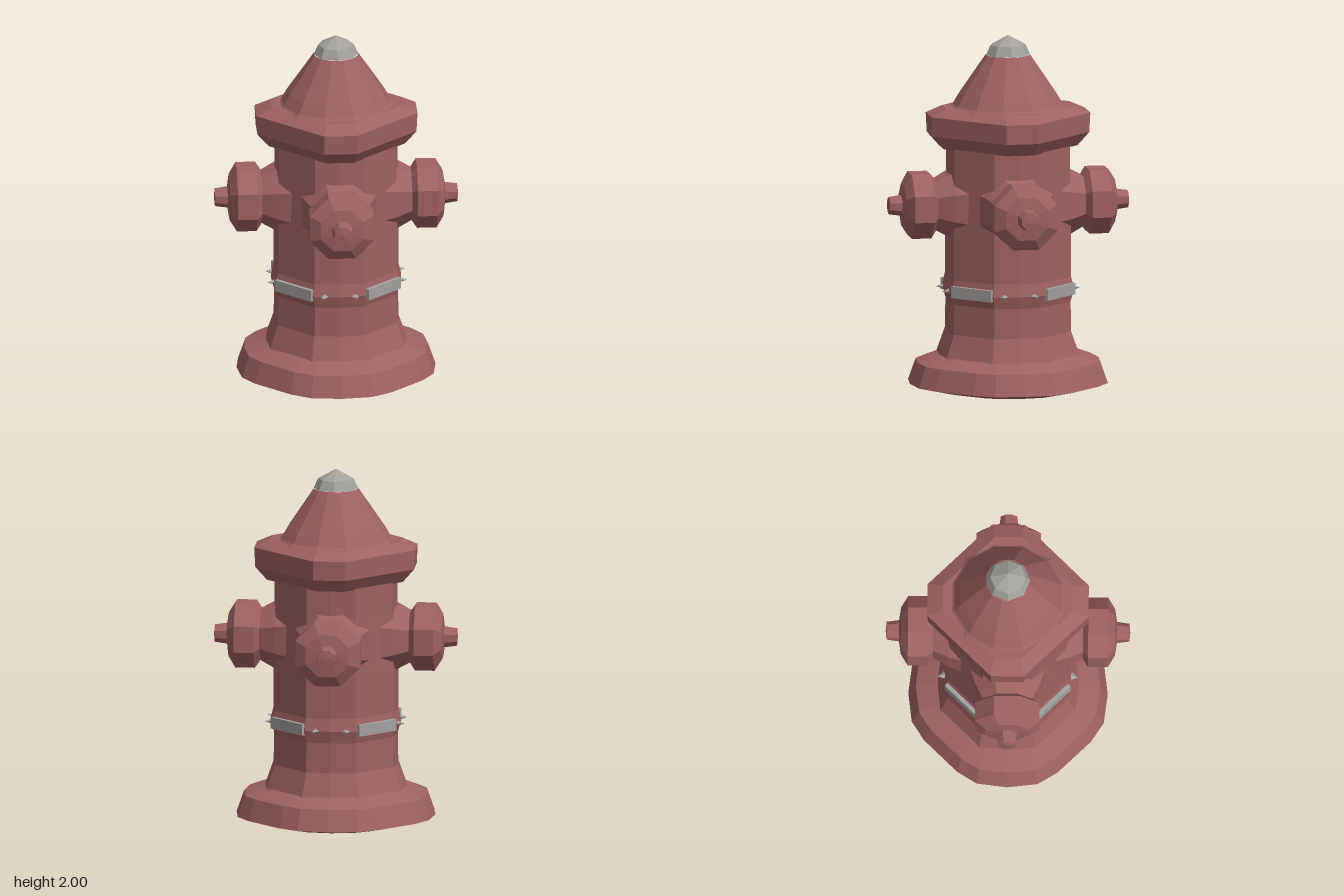
import * as THREE from 'three';

const red = new THREE.MeshStandardMaterial({ color: 0x9e6262 });
red.name = 'faded red paint';
const grey = new THREE.MeshStandardMaterial({ color: 0xa3a19e });
grey.name = 'grey metal';

// Quarter outlines (x, z) from +x to +z, unit half-width
const BASE = [[1, 0.25], [0.945, 0.49], [0.745, 0.745], [0.49, 0.945], [0.25, 1]];
const BODY = [[1, 0.41], [0.74, 0.74], [0.41, 1]];
const COLLAR = [[1, 0.66], [0.66, 1]];

// Split the faces so that each one is shaded flat
function facet(geometry) {
  const g = geometry.index ? geometry.toNonIndexed() : geometry;
  g.computeVertexNormals();
  return g;
}

// Stack a four-fold outline through levels of [half-width, y], capped at both ends
function loft(quarter, levels) {
  const outline = [];
  for (let q = 0; q < 4; q++) {
    for (const p of quarter) {
      let [x, z] = p;
      for (let r = 0; r < q; r++) [x, z] = [-z, x];
      outline.push([x, z]);
    }
  }
  const n = outline.length;
  const pos = [];
  const idx = [];
  for (const [r, y] of levels) for (const [x, z] of outline) pos.push(x * r, y, z * r);
  const top = (levels.length - 1) * n;
  const c0 = levels.length * n;
  pos.push(0, levels[0][1], 0, 0, levels[levels.length - 1][1], 0);
  for (let i = 0; i < n; i++) {
    const j = (i + 1) % n;
    for (let k = 0; k < top; k += n) {
      idx.push(k + i, k + n + i, k + j, k + j, k + n + i, k + n + j);
    }
    idx.push(c0, i, j, c0 + 1, top + j, top + i);
  }
  const g = new THREE.BufferGeometry();
  g.setAttribute('position', new THREE.Float32BufferAttribute(pos, 3));
  g.setIndex(idx);
  return facet(g);
}

function turned(points, sides, start = 0) {
  return facet(new THREE.LatheGeometry(points.map(([r, y]) => new THREE.Vector2(r, y)), sides, start));
}

function add(parent, name, geometry, material) {
  const mesh = new THREE.Mesh(geometry, material);
  mesh.name = name;
  parent.add(mesh);
  return mesh;
}

export function createModel() {
  const model = new THREE.Group();
  model.name = 'fireHydrant';

  // Foot flange, barrel and collar
  add(model, 'baseFlange', loft(BASE, [[0.39, 0], [0.53, 0.035], [0.49, 0.155], [0.38, 0.2]]), red);
  add(model, 'barrel', loft(BODY, [
    [0.385, 0.18], [0.335, 0.33], [0.332, 0.5], [0.35, 0.57], [0.335, 0.64],
    [0.335, 0.88], [0.33, 1.2], [0.33, 1.38], [0.35, 1.44],
  ]), red);
  add(model, 'collar', loft(COLLAR, [[0.325, 1.375], [0.38, 1.45], [0.385, 1.56], [0.31, 1.6]]), red);

  // Sloping bonnet with a metal tip
  add(model, 'bonnet', turned([[0.37, 1.56], [0.31, 1.61], [0.275, 1.67], [0.2, 1.78], [0.125, 1.89]], 12), red);
  add(model, 'bonnetTip', turned([[0.125, 1.89], [0.1, 1.945], [0, 2]], 8), grey);

  // Four capped outlets on the diagonals
  const outlet = turned([
    [0.24, 0.22], [0.2, 0.33], [0.15, 0.42], [0.195, 0.45], [0.195, 0.56],
    [0.13, 0.6], [0.06, 0.61], [0.05, 0.68], [0, 0.685],
  ], 8, Math.PI / 8);
  outlet.rotateX(Math.PI / 2);
  const plate = facet(new THREE.BoxGeometry(0.27, 0.065, 0.03));
  const stud = turned([[0.035, 0], [0, 0.06]], 4);
  stud.rotateX(Math.PI / 2);

  for (let i = 0; i < 4; i++) {
    const side = new THREE.Group();
    side.name = 'side' + (i + 1);
    side.rotation.y = (i * Math.PI) / 2;
    model.add(side);

    const nozzle = add(side, 'outlet', outlet, red);
    nozzle.position.y = 1.05;
    nozzle.rotation.y = Math.PI / 4;

    // Band plate on the flat face, small pointed studs round the corner
    add(side, 'bandPlate', plate, grey).position.set(0, 0.575, 0.35);
    for (const offset of [-0.24, 0.24]) {
      const a = Math.PI / 4 + offset;
      const s = add(side, 'bandStud', stud, grey);
      s.position.set(Math.sin(a) * 0.345, 0.57, Math.cos(a) * 0.345);
      s.rotation.y = a;
      s.scale.y = 0.6;
    }
  }
  return model;
}
